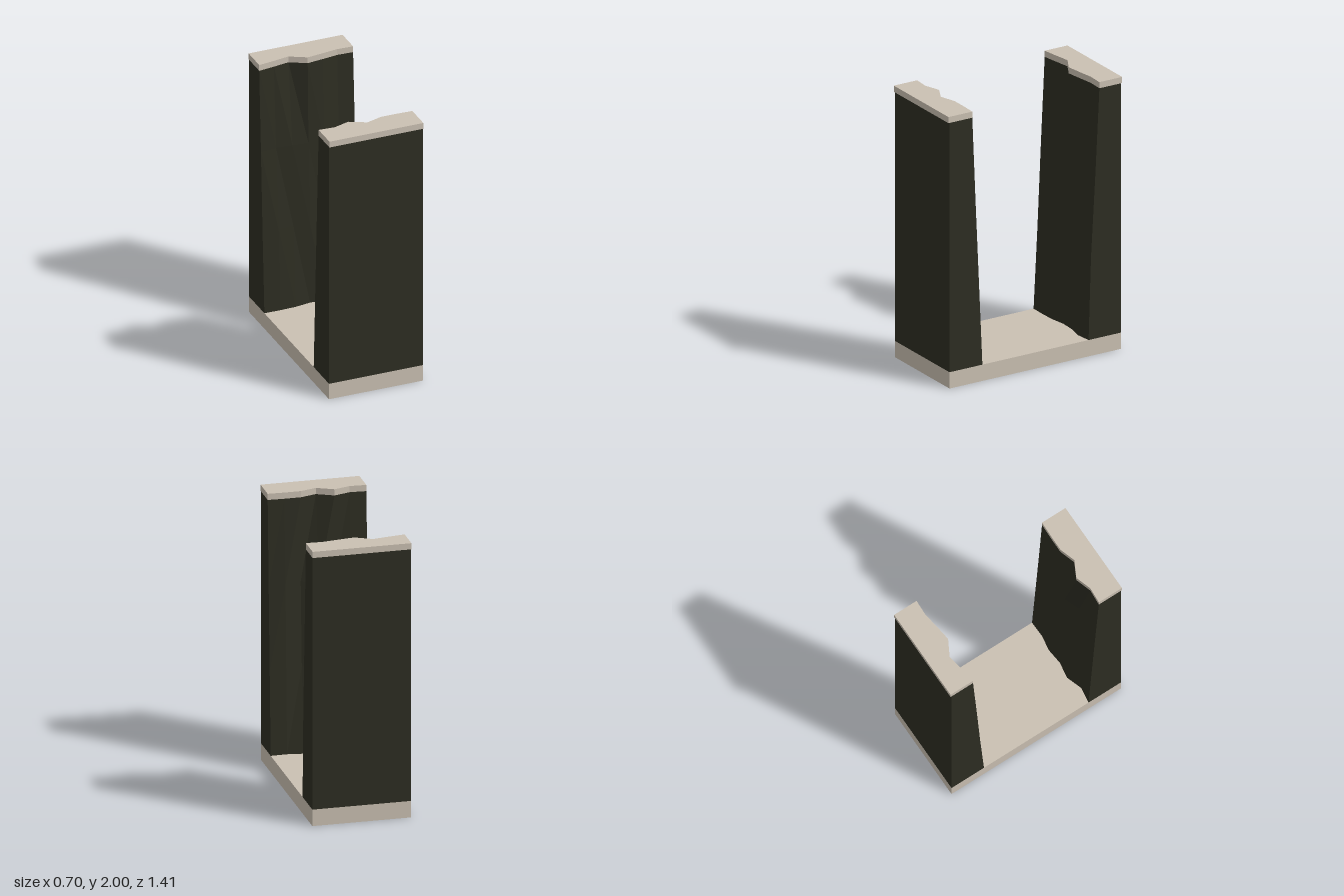
import * as THREE from 'three';

const HALF_X = 0.35, BASE_H = 0.12, WALL_TOP = 1.955, WALL_Z = 0.697, CAP_Z = 0.705;
const COLS = 6, ROWS = 3;

// Distance of the rugged inner faces from the centre, rows from bottom to top, columns from -x to +x
const FRONT = [
  [0.43, 0.447, 0.408, 0.427, 0.415, 0.433, 0.43],
  [0.458, 0.46, 0.44, 0.45, 0.48, 0.455, 0.458],
  [0.486, 0.49, 0.51, 0.465, 0.51, 0.475, 0.486],
  [0.515, 0.523, 0.485, 0.545, 0.508, 0.508, 0.512],
];
const BACK = [
  [0.43, 0.428, 0.432, 0.45, 0.445, 0.42, 0.432],
  [0.462, 0.455, 0.47, 0.455, 0.465, 0.45, 0.452],
  [0.49, 0.5, 0.487, 0.48, 0.478, 0.495, 0.488],
  [0.52, 0.537, 0.557, 0.493, 0.508, 0.525, 0.52],
];

const colX = (i) => -HALF_X + (2 * HALF_X * i) / COLS;
const rowY = (j) => BASE_H + ((WALL_TOP - BASE_H) * j) / ROWS;

// Rock wall: faceted inner face, flat back and ends; side is +1 (front) or -1 (back)
function wallGeometry(depths, side) {
  const pos = [];
  const tri = (a, b, c) => pos.push(...(side > 0 ? [a, b, c] : [a, c, b]).flat());
  const quad = (a, b, c, d) => { tri(a, b, d); tri(b, c, d); };
  const inner = (i, j) => [colX(i), rowY(j), side * depths[j][i]];
  const outer = (i, j) => [colX(i), rowY(j), side * WALL_Z];

  for (let j = 0; j < ROWS; j++) {
    for (let i = 0; i < COLS; i++) {
      quad(inner(i, j), inner(i, j + 1), inner(i + 1, j + 1), inner(i + 1, j));
    }
    quad(outer(0, j), outer(0, j + 1), inner(0, j + 1), inner(0, j));
    quad(inner(COLS, j), inner(COLS, j + 1), outer(COLS, j + 1), outer(COLS, j));
  }
  quad(outer(COLS, 0), outer(COLS, ROWS), outer(0, ROWS), outer(0, 0));

  const geometry = new THREE.BufferGeometry();
  geometry.setAttribute('position', new THREE.Float32BufferAttribute(pos, 3));
  geometry.computeVertexNormals();
  return geometry;
}

// Cap slab whose inner edge follows the top of the wall
function capGeometry(edge, side) {
  const points = edge.map((z, i) => new THREE.Vector2(colX(i), -side * z));
  points.push(new THREE.Vector2(HALF_X, -side * CAP_Z), new THREE.Vector2(-HALF_X, -side * CAP_Z));
  const geometry = new THREE.ExtrudeGeometry(new THREE.Shape(points), {
    depth: 2 - WALL_TOP, bevelEnabled: false,
  });
  return geometry.rotateX(-Math.PI / 2).translate(0, WALL_TOP, 0);
}

export function createModel() {
  const stone = new THREE.MeshStandardMaterial({ color: 0xcac0b2 });
  stone.name = 'pale stone';
  const rock = new THREE.MeshStandardMaterial({ color: 0x2d2d22 });
  rock.name = 'dark rock';

  const group = new THREE.Group();
  group.name = 'canyon';
  const add = (name, geometry, material) => {
    const mesh = new THREE.Mesh(geometry, material);
    mesh.name = name;
    group.add(mesh);
  };

  // Floor slab
  add('floor', new THREE.BoxGeometry(2 * HALF_X, BASE_H, 2 * WALL_Z).translate(0, BASE_H / 2, 0), stone);

  // Two facing walls with their caps
  for (const [name, depths, side] of [['front', FRONT, 1], ['back', BACK, -1]]) {
    add(name + 'Wall', wallGeometry(depths, side), rock);
    add(name + 'Cap', capGeometry(depths[ROWS], side), stone);
  }
  return group;
}
